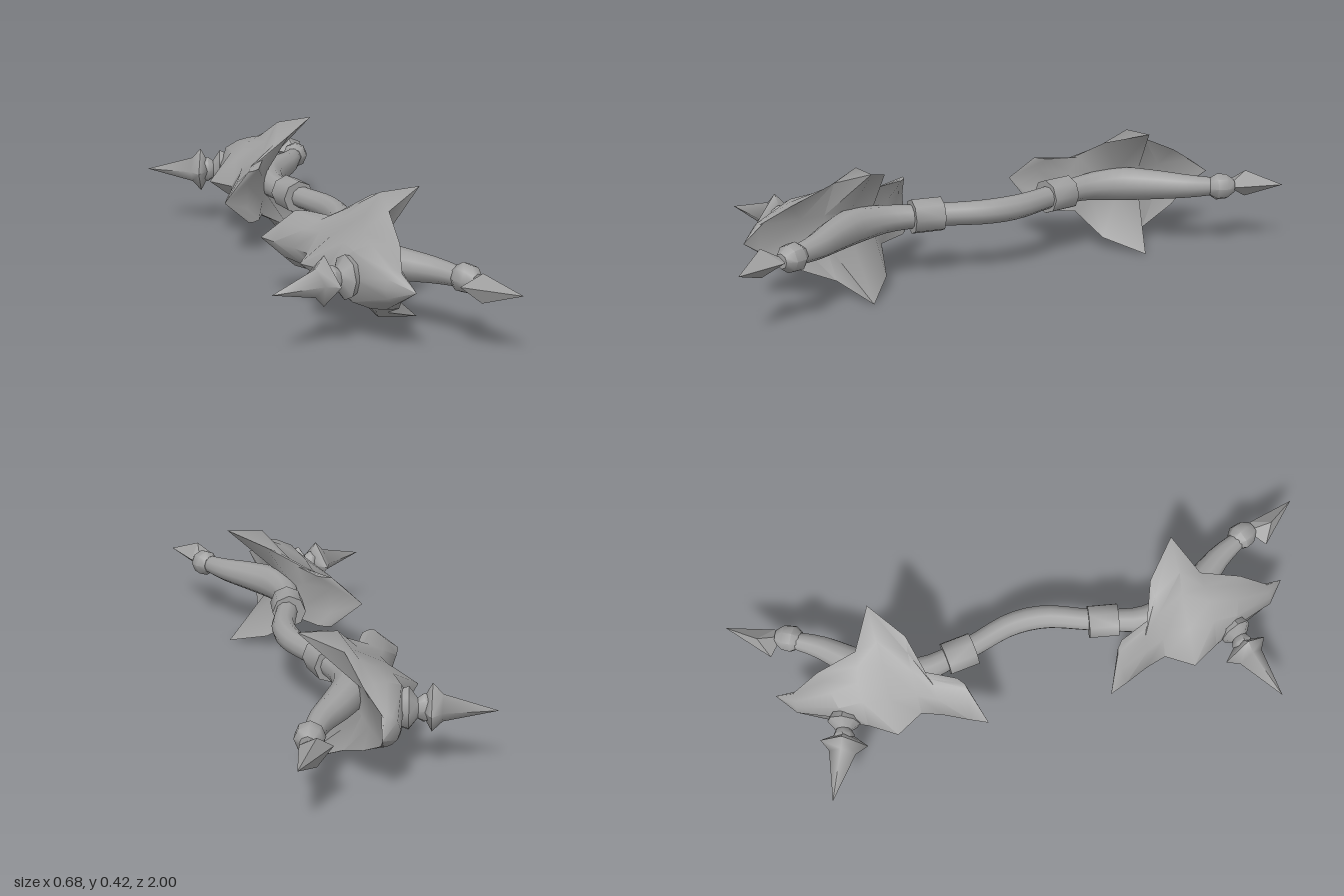
import * as THREE from 'three';
import { toCreasedNormals } from 'three/addons/utils/BufferGeometryUtils.js';
import { ConvexGeometry } from 'three/addons/geometries/ConvexGeometry.js';

const MID = 0.212; // height of the symmetry plane

const steel = new THREE.MeshStandardMaterial({ color: 0xa0a0a0, side: THREE.DoubleSide });
steel.name = 'steel grey';

function build(verts, index, crease) {
  const g = new THREE.BufferGeometry();
  g.setAttribute('position', new THREE.Float32BufferAttribute(verts, 3));
  g.setIndex(index);
  return toCreasedNormals(g, crease);
}

function part(name, geometry) {
  const mesh = new THREE.Mesh(geometry, steel);
  mesh.name = name;
  return mesh;
}

// Rings swept along a path of [x, z, radius] in the horizontal plane; s mirrors z
function sweep(path, sides, s = 1, crease = 0.9, tall = 1) {
  const verts = [], index = [];
  path.forEach(([x, z, r], i) => {
    const a = path[Math.max(i - 1, 0)], b = path[Math.min(i + 1, path.length - 1)];
    const t = new THREE.Vector2(b[0] - a[0], b[1] - a[1]).normalize();
    for (let j = 0; j < sides; j++) {
      const u = j / sides * Math.PI * 2, c = Math.cos(u) * r;
      verts.push(x + t.y * c, MID + Math.sin(u) * r * tall, s * (z - t.x * c));
      if (i === 0) continue;
      const k = (j + 1) % sides, p = (i - 1) * sides, q = i * sides;
      if (s > 0) index.push(p + j, p + k, q + k, p + j, q + k, q + j);
      else index.push(p + j, q + k, p + k, p + j, q + j, q + k);
    }
  });
  return build(verts, index, crease);
}

// Smooth a coarse [x, z, radius] path
function smooth(path, n) {
  const curve = new THREE.CatmullRomCurve3(path.map(p => new THREE.Vector3(...p)));
  return curve.getPoints(n).map(p => [p.x, p.y, p.z]);
}

// Guard cross-sections from rear to front, each from the ridge out to the upper edge
const guardRows = [
  [[-0.175, 0, 0.27], [-0.14, 0.055, 0.26], [-0.1, 0.092, 0.255], [-0.08, 0.093, 0.26], [-0.055, 0.093, 0.28]],
  [[-0.138, 0, 0.35], [-0.1, 0.06, 0.36], [-0.06, 0.083, 0.36], [-0.035, 0.092, 0.37], [-0.01, 0.098, 0.38]],
  [[-0.115, 0, 0.42], [-0.075, 0.065, 0.42], [0, 0.105, 0.42], [0.05, 0.145, 0.42], [0.1, 0.17, 0.415]],
  [[-0.17, 0, 0.51], [-0.07, 0.078, 0.51], [0.04, 0.135, 0.51], [0.09, 0.203, 0.51], [0.218, 0.212, 0.515]],
  [[-0.115, 0, 0.6], [-0.06, 0.083, 0.6], [0, 0.113, 0.6], [0.045, 0.137, 0.59], [0.09, 0.162, 0.585]],
  [[-0.068, 0, 0.68], [-0.06, 0.08, 0.68], [-0.01, 0.1, 0.695], [0.035, 0.105, 0.71], [0.07, 0.1, 0.725]],
  [[-0.015, 0, 0.82], [-0.005, 0.03, 0.82], [0.01, 0.045, 0.815], [0.025, 0.053, 0.81], [0.04, 0.055, 0.8]],
];
const guardBackX = [-0.1, -0.02, 0.02, 0.04, 0.04, 0.04, 0.038]; // inner face beside the limb

function guardGeometry(s) {
  const verts = [], index = [], w = 11;
  const sections = guardRows.map((row, i) => [...row, [guardBackX[i], 0.045, row[0][2]]]);
  sections.unshift(Array(6).fill([-0.2, 0, 0.21])); // rear point
  sections.push(Array(6).fill([0.06, 0, 0.88]));    // front point
  sections.forEach((row, i) => {
    for (let j = -5; j <= 5; j++) {
      const [x, y, z] = row[Math.abs(j)];
      verts.push(x, MID + Math.sign(j) * y, s * z);
      if (i === 0) continue;
      const p = (i - 1) * w, m = j + 5, n = (m + 1) % w;
      const a = p + m, b = p + n, c = p + w + n, d = p + w + m;
      // mirror the diagonals above and below the ridge
      const tris = j < 0 ? [a, d, b, b, d, c] : [a, d, c, a, c, b];
      index.push(...(s > 0 ? tris.reverse() : tris));
    }
  });
  return build(verts, index, 1.1);
}

function createArm(s) {
  const arm = new THREE.Group();
  arm.name = s > 0 ? 'frontArm' : 'backArm';

  arm.add(part('collar', sweep(
    [[0.068, 0.2, 0], [0.068, 0.2, 0.058], [0.053, 0.3, 0.058], [0.053, 0.3, 0]], 8, s)));

  // limb, swelling behind the guard and bending outwards
  arm.add(part('limb', sweep(smooth([
    [0.058, 0.27, 0.038], [0.035, 0.38, 0.045], [0.05, 0.5, 0.058],
    [0.115, 0.6, 0.052], [0.195, 0.7, 0.04], [0.25, 0.8, 0.028]], 14), 10, s)));

  arm.add(part('limbKnob', sweep([
    [0.235, 0.765, 0], [0.235, 0.765, 0.032], [0.247, 0.785, 0.047],
    [0.26, 0.815, 0.044], [0.27, 0.84, 0.024], [0.27, 0.84, 0]], 8, s)));

  // barbed end blade
  arm.add(part('blade', new ConvexGeometry([
    [0.34, 0, 1], [0.2, 0, 0.87], [0.295, 0, 0.84], [0.265, 0, 0.82],
    [0.258, 0.046, 0.9], [0.258, -0.046, 0.9]
  ].map(([x, y, z]) => new THREE.Vector3(x, MID + y, s * z)))));

  arm.add(part('guard', guardGeometry(s)));

  // side spike on a waisted neck
  arm.add(part('spikeNeck', sweep([
    [-0.055, 0.665, 0.045], [-0.085, 0.677, 0.055], [-0.11, 0.683, 0.026],
    [-0.13, 0.686, 0.036], [-0.15, 0.69, 0.03]], 8, s, 0.9, 1.3)));
  arm.add(part('spike', sweep([
    [-0.13, 0.681, 0], [-0.13, 0.681, 0.03], [-0.155, 0.69, 0.08],
    [-0.185, 0.702, 0.045], [-0.34, 0.765, 0]], 4, s, 1.7)));
  return arm;
}

export function createModel() {
  const model = new THREE.Group();
  model.name = 'doubleBladedBow';

  // bowed central grip
  model.add(part('grip', sweep(smooth([
    [0.062, -0.25, 0.038], [0.088, -0.17, 0.038], [0.118, -0.08, 0.04], [0.127, 0, 0.041],
    [0.118, 0.08, 0.04], [0.088, 0.17, 0.038], [0.062, 0.25, 0.038]], 12), 10)));

  for (const s of [1, -1]) model.add(createArm(s));
  return model;
}
